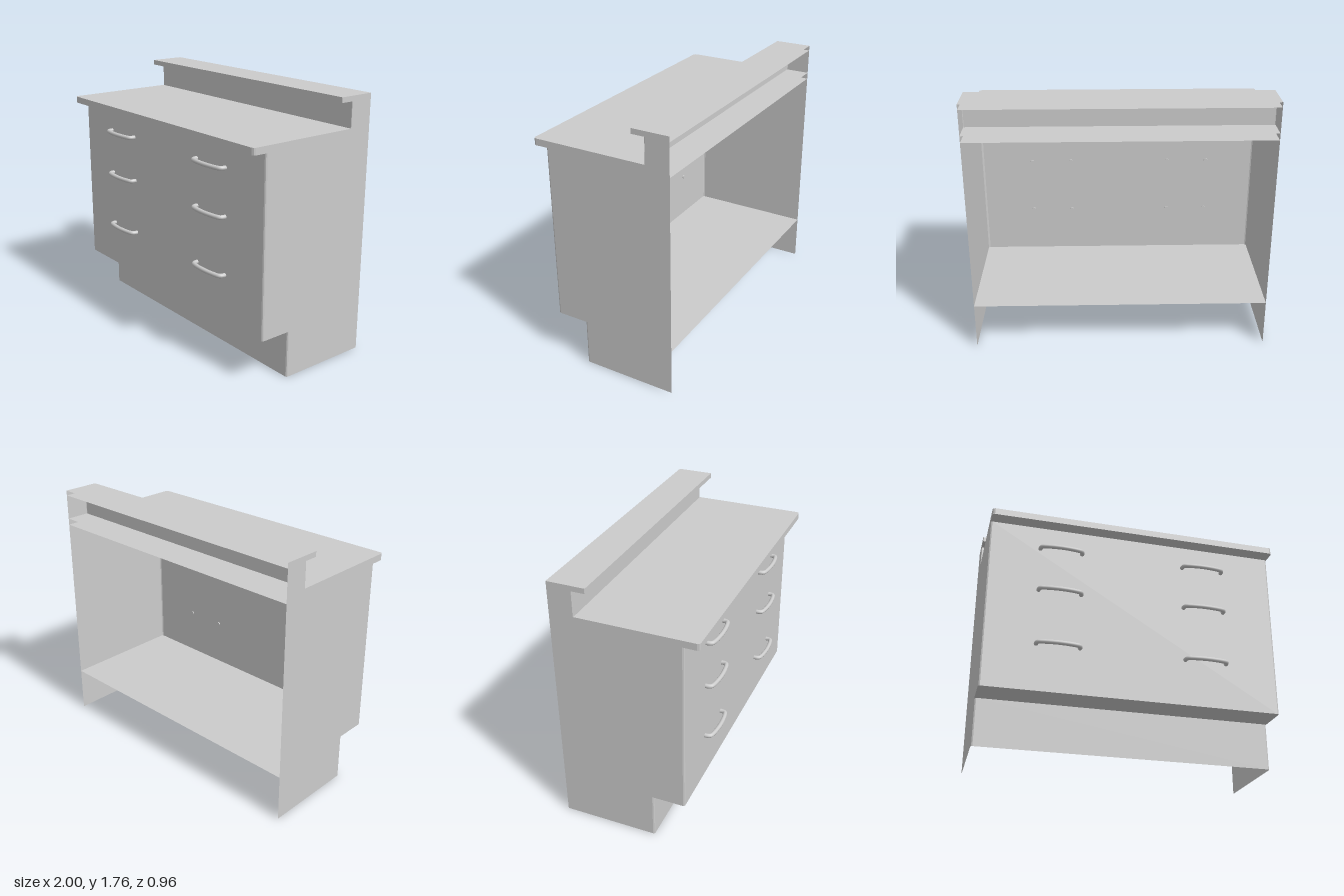
import * as THREE from 'three';

const BACK = -0.48;
const material = new THREE.MeshStandardMaterial({ color: 0xcccccc, side: THREE.DoubleSide, flatShading: true });
const metal = new THREE.MeshStandardMaterial({ color: 0xcccccc, side: THREE.DoubleSide });

// Plan outline, open at the back, with eased front corners
function outline(front, ease) {
  return [
    [-1, BACK], [-1, front - ease], [-1 + ease * 0.3, front - ease * 0.3], [-1 + ease, front],
    [1 - ease, front], [1 - ease * 0.3, front - ease * 0.3], [1, front - ease], [1, BACK],
  ];
}

// Thin upright wall following the outline between two heights
function wall(name, y0, y1, front, ease) {
  const pts = outline(front, ease);
  const pos = [], index = [];
  pts.forEach(([x, z]) => pos.push(x, y0, z, x, y1, z));
  for (let i = 0; i < pts.length - 1; i++) {
    const a = i * 2;
    index.push(a, a + 2, a + 1, a + 1, a + 2, a + 3);
  }
  const geo = new THREE.BufferGeometry();
  geo.setAttribute('position', new THREE.Float32BufferAttribute(pos, 3));
  geo.setIndex(index);
  const flat = geo.toNonIndexed();
  flat.computeVertexNormals();
  const mesh = new THREE.Mesh(flat, material);
  mesh.name = name;
  return mesh;
}

// Thin horizontal sheet filling the outline at one height
function sheet(name, y, front, ease) {
  const shape = new THREE.Shape(outline(front, ease).map(([x, z]) => new THREE.Vector2(x, -z)));
  const geo = new THREE.ShapeGeometry(shape);
  geo.rotateX(-Math.PI / 2);
  const mesh = new THREE.Mesh(geo, material);
  mesh.name = name;
  mesh.position.y = y;
  return mesh;
}

// Bowed pull handle whose feet pass just through the drawer front
function handleGeometry() {
  const curve = new THREE.CatmullRomCurve3([
    [-0.143, -0.008], [-0.143, 0.015], [-0.135, 0.035], [-0.105, 0.045], [0, 0.054],
    [0.105, 0.045], [0.135, 0.035], [0.143, 0.015], [0.143, -0.008],
  ].map(([x, z]) => new THREE.Vector3(x, 0, z)), false, 'centripetal');
  return new THREE.TubeGeometry(curve, 40, 0.0145, 12, false);
}

export function createModel() {
  const group = new THREE.Group();
  group.name = 'drawerCabinet';

  // Open-backed carcass, from the floor up
  group.add(
    wall('plinth', 0, 0.32, 0.17, 0.012),
    sheet('cabinetFloor', 0.32, 0.385, 0.012),
    wall('cabinetBody', 0.32, 1.51, 0.385, 0.012),
    sheet('countertopUnderside', 1.51, 0.48, 0.018),
    wall('countertopEdge', 1.51, 1.555, 0.48, 0.018),
    sheet('countertop', 1.555, 0.48, 0.018),
    wall('backsplash', 1.555, 1.725, -0.315, 0.004),
    sheet('ledgeUnderside', 1.725, -0.225, 0.004),
    wall('ledgeEdge', 1.725, 1.76, -0.225, 0.004),
    sheet('ledgeTop', 1.76, -0.225, 0.004),
  );

  // Two columns of three handles, with caps on the feet
  const tube = handleGeometry();
  const cap = new THREE.CircleGeometry(0.0145, 12);
  for (const x of [-0.512, 0.492]) {
    for (const y of [1.347, 1.032, 0.642]) {
      const handle = new THREE.Group();
      handle.name = 'handle';
      const grip = new THREE.Mesh(tube, metal);
      grip.name = 'grip';
      handle.add(grip);
      for (const side of [-1, 1]) {
        const foot = new THREE.Mesh(cap, metal);
        foot.name = 'footCap';
        foot.position.set(side * 0.143, 0, -0.008);
        foot.rotation.y = Math.PI;
        handle.add(foot);
      }
      handle.position.set(x, y, 0.385);
      group.add(handle);
    }
  }
  return group;
}
